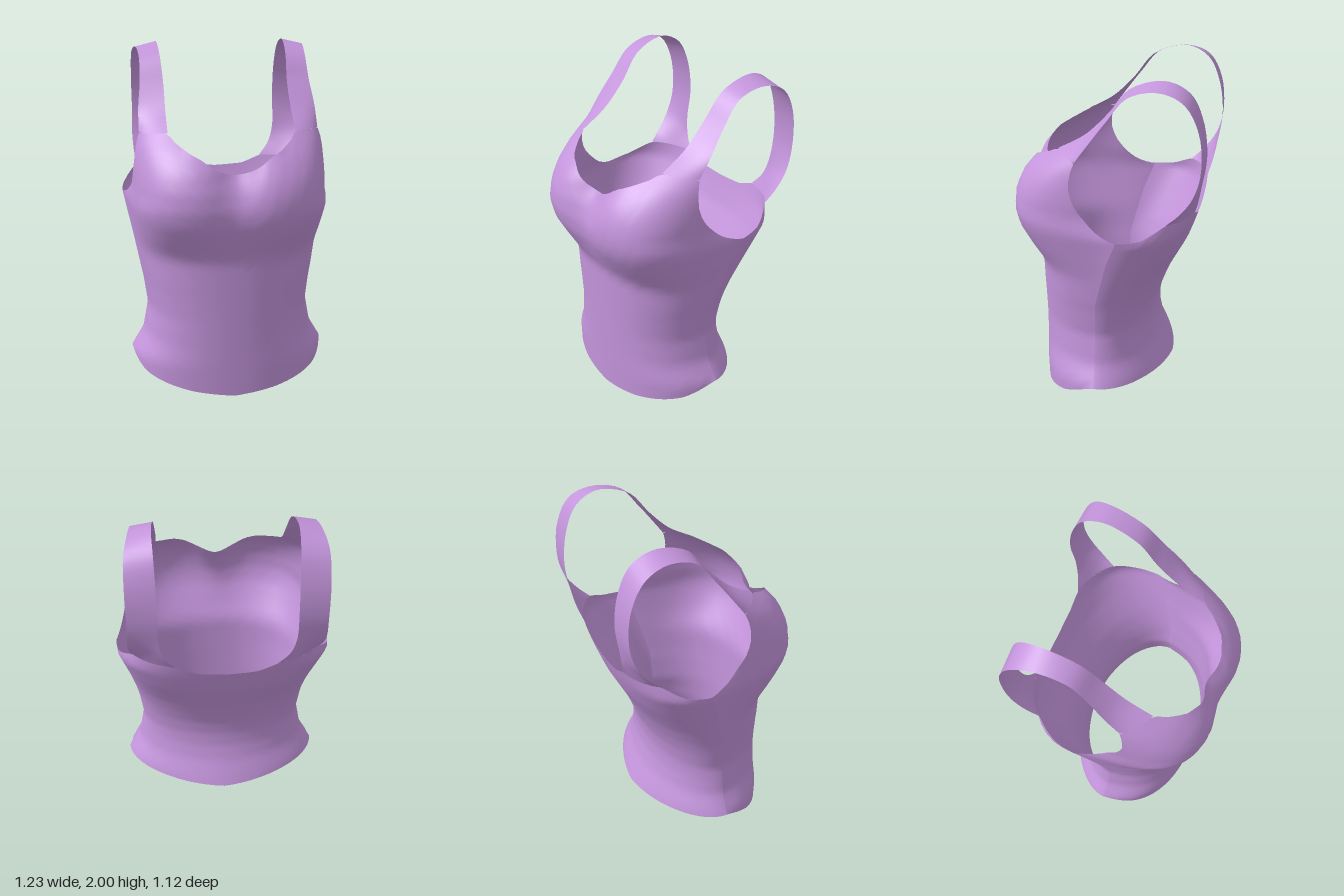
import * as THREE from 'three';

const { lerp, clamp } = THREE.MathUtils;

// Straight-line lookup in a list of [position, value] pairs
function look(table, t) {
  if (t <= table[0][0]) return table[0][1];
  for (let i = 1; i < table.length; i++) {
    const [a, va] = table[i - 1], [b, vb] = table[i];
    if (t <= b) return lerp(va, vb, (t - a) / (b - a));
  }
  return table[table.length - 1][1];
}

// Section measures by height: half width, seam depth, panel depth, squareness
const width = [[0.18, 0.59], [0.3, 0.52], [0.48, 0.487], [0.65, 0.51], [0.9, 0.56], [1.15, 0.615], [1.25, 0.58], [1.44, 0.56]];
const seam = [[0.18, 0.03], [0.4, 0.04], [0.7, 0.03], [1, -0.05], [1.15, -0.11]];
const front = {
  depth: [[0, 0.42], [0.6, 0.43], [0.85, 0.435], [0.9, 0.447], [1, 0.5], [1.1, 0.55], [1.2, 0.567], [1.3, 0.56], [1.4, 0.52], [1.5, 0.44], [1.6, 0.3]],
  square: [[0, 2.2], [0.85, 2.4], [1, 3], [1.2, 3.6], [1.34, 3.3], [1.44, 3], [1.57, 2.5]],
  // edge heights by angle from the panel centre to the side seam
  hem: [[0, 0], [23, 0.03], [63, 0.1], [90, 0.18]],
  top: [[0, 1.38], [4, 1.41], [12, 1.47], [31, 1.55], [35, 1.58], [63.6, 1.56], [67, 1.52], [72, 1.44], [78, 1.34], [84.6, 1.24], [88, 1.18], [90, 1.15]],
};
const back = {
  depth: [[0.14, -0.35], [0.2, -0.325], [0.3, -0.28], [0.4, -0.255], [0.5, -0.25], [0.6, -0.265], [0.7, -0.3], [0.8, -0.34], [1, -0.44], [1.1, -0.475], [1.25, -0.52]],
  square: [[0.14, 1.8], [0.5, 2], [0.8, 2.1], [1.2, 2.7]],
  hem: [[0, 0.14], [45, 0.165], [90, 0.18]],
  top: [[0, 1.17], [10, 1.18], [21.6, 1.23], [58, 1.24], [76, 1.17], [90, 1.15]],
};
const cleavage = [[0.95, 0], [1.2, 0.035], [1.38, 0.09]];
// Narrowing of the front panel beside the seam
const pinch = [[0.18, 0.02], [0.5, 0.015], [0.9, 0.03], [1.15, 0.045], [1.3, 0.015], [1.45, 0]];

// Point on a panel; deg runs from its centre line to the side seam
function panelPoint(panel, deg, v) {
  const y = lerp(look(panel.hem, deg), look(panel.top, deg), v);
  const a = THREE.MathUtils.degToRad(deg), p = 2 / look(panel.square, y);
  const out = Math.pow(Math.sin(a), p), forward = Math.pow(Math.max(0, Math.cos(a)), p);
  let x = look(width, y) * out;
  let z = lerp(look(seam, y), look(panel.depth, y), forward);
  if (panel === front) {
    x -= look(pinch, y) * out * (1 - (1 - forward) ** 4);
    z -= look(cleavage, y) * Math.exp(-((x / 0.13) ** 2));
  }
  return new THREE.Vector3(x, y, z);
}

// Smooth sheet from a point function of u (across) and v (along)
function sheet(name, point, nu, nv, material) {
  const positions = [], index = [];
  for (let j = 0; j <= nv; j++) {
    for (let i = 0; i <= nu; i++) positions.push(...point(i / nu, j / nv).toArray());
  }
  for (let j = 0; j < nv; j++) {
    for (let i = 0; i < nu; i++) {
      const a = j * (nu + 1) + i, b = a + nu + 1;
      index.push(a, a + 1, b + 1, a, b + 1, b);
    }
  }
  const geometry = new THREE.BufferGeometry();
  geometry.setAttribute('position', new THREE.Float32BufferAttribute(positions, 3));
  geometry.setIndex(index);
  geometry.computeVertexNormals();
  const mesh = new THREE.Mesh(geometry, material);
  mesh.name = name;
  return mesh;
}

// Strap edges between chest and back, flaring into the back panel
const strapInner = [[0.36, 1.67, 0.11], [0.36, 1.8, -0.02], [0.37, 1.945, -0.14], [0.38, 2, -0.33], [0.375, 1.94, -0.46], [0.37, 1.8, -0.53], [0.37, 1.6, -0.558], [0.37, 1.42, -0.535], [0.34, 1.31, -0.515]];
const strapOuter = [[0.51, 1.68, 0.05], [0.495, 1.8, -0.04], [0.49, 1.93, -0.15], [0.505, 1.97, -0.32], [0.525, 1.92, -0.45], [0.53, 1.77, -0.53], [0.53, 1.55, -0.545], [0.535, 1.41, -0.505], [0.53, 1.31, -0.435]];

// Lengthwise line of the strap, k = 0 at the neck and 1 at the arm
function strapLine(k) {
  const middle = strapInner.map((p, i) =>
    new THREE.Vector3(...p).lerp(new THREE.Vector3(...strapOuter[i]), k));
  return new THREE.CatmullRomCurve3([
    panelPoint(front, lerp(35, 63.6, k), 1),
    ...middle,
    panelPoint(back, lerp(21.6, 58, k), 1),
  ]);
}

export function createModel() {
  const group = new THREE.Group();
  group.name = 'top';
  const fabric = new THREE.MeshStandardMaterial({ color: 0xc495dc, side: THREE.DoubleSide });
  fabric.name = 'lilac fabric';

  // Front and back panels, meeting in a crease at the side seams
  for (const [name, panel, dir] of [['frontPanel', front, 1], ['backPanel', back, -1]]) {
    group.add(sheet(name, (u, v) => {
      const s = u * 2 - 1;
      const deg = clamp(45 * (1 - Math.cos(Math.PI * s)), 0, 90);
      const p = panelPoint(panel, deg, v);
      p.x *= Math.sign(s) * dir;
      return p;
    }, 72, 36, fabric));
  }

  // Shoulder straps
  const across = 8;
  const lines = Array.from({ length: across + 1 }, (_, i) => strapLine(i / across));
  for (const [name, side] of [['leftStrap', 1], ['rightStrap', -1]]) {
    group.add(sheet(name, (u, v) => {
      const i = Math.round((side > 0 ? u : 1 - u) * across);
      const p = lines[i].getPoint(v);
      p.x *= side;
      return p;
    }, across, 44, fabric));
  }
  return group;
}
